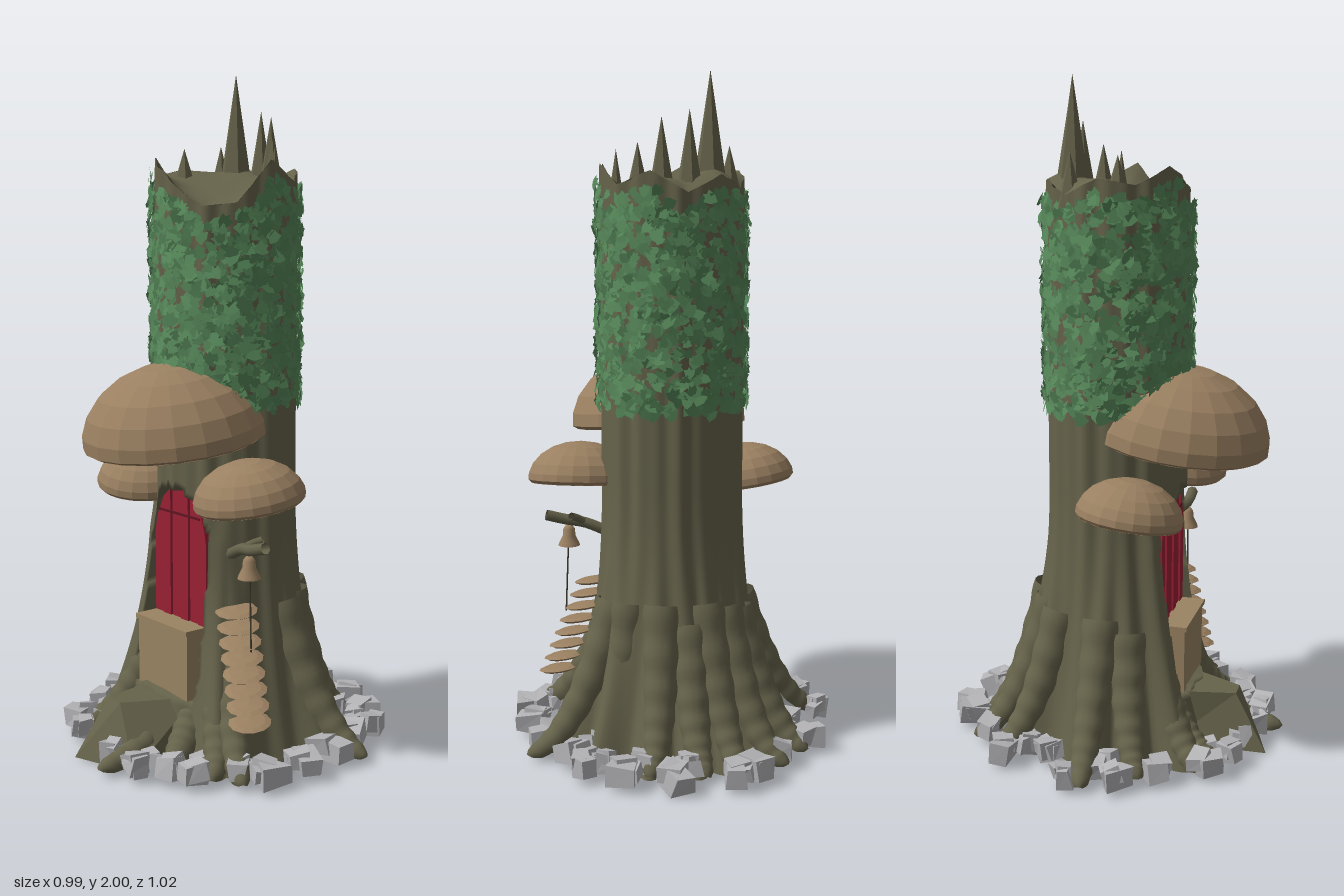
import * as THREE from 'three';
import { mergeGeometries, mergeVertices } from 'three/addons/utils/BufferGeometryUtils.js';

const TAU = Math.PI * 2;
const lerp = THREE.MathUtils.lerp;

function makeRandom(seed) {
  return () => (seed = (seed * 16807) % 2147483647) / 2147483647;
}

function material(name, color, side = THREE.FrontSide) {
  const m = new THREE.MeshStandardMaterial({ color, side });
  m.name = name;
  return m;
}

// Smooth surface from a rule (u, v) -> [x, y, z]
function surface(rule, nu, nv) {
  const g = new THREE.PlaneGeometry(1, 1, nu, nv);
  const p = g.attributes.position, uv = g.attributes.uv;
  for (let i = 0; i < p.count; i++) p.setXYZ(i, ...rule(uv.getX(i), uv.getY(i)));
  g.deleteAttribute('uv');
  g.deleteAttribute('normal');
  const merged = mergeVertices(g, 1e-5);
  merged.computeVertexNormals();
  return merged;
}

function flat(g) {
  const f = g.index ? g.toNonIndexed() : g;
  f.computeVertexNormals();
  return f;
}

// Root tips: x, z, height at the trunk
const roots = [
  [-0.48, 0.02, 0.4], [-0.34, -0.30, 0.4], [-0.25, -0.39, 0.42], [-0.10, -0.42, 0.44],
  [0.0, -0.42, 0.38], [0.16, -0.38, 0.44], [0.24, -0.19, 0.44], [0.48, -0.15, 0.42],
  [0.41, 0.26, 0.34], [0.33, 0.31, 0.28], [0.20, 0.36, 0.13], [0.07, 0.515, 0.12],
  [-0.20, 0.36, 0.13], [-0.29, 0.33, 0.27], [-0.38, 0.17, 0.36],
].map(([x, z, h]) => ({ angle: Math.atan2(x, z), reach: Math.hypot(x, z), h }));

function rimHeight(a) {
  const heights = [1.69, 1.61, 1.62, 1.74, 1.68, 1.72, 1.66, 1.71, 1.67, 1.72, 1.7, 1.75];
  const t = ((((a / TAU) % 1) + 1) % 1) * 12, i = Math.floor(t) % 12;
  return lerp(heights[i], heights[(i + 1) % 12], t - Math.floor(t));
}

function trunkRadius(a, y) {
  let bump = 0;
  for (const r of roots) {
    const d = Math.atan2(Math.sin(a - r.angle), Math.cos(a - r.angle));
    if (r.h > 0.2) bump = Math.max(bump, Math.exp(-((d / 0.14) ** 2)));
  }
  const t = Math.max(0, 1 - y / 0.8);
  const flute = 0.004 * Math.sin(a * 13) + 0.003 * Math.sin(a * 21 + 1);
  const front = Math.atan2(Math.sin(a), Math.cos(a));
  const jamb = 0.016 * Math.exp(-(((Math.abs(front) - 0.8) / 0.14) ** 2)) * Math.min(1, t * 5);
  return 0.207 + flute + jamb + t * t * (0.095 + 0.085 * bump);
}

// Height of the door arch at x
const archTop = x => 0.6 + 0.19 * Math.sqrt(Math.max(0, 1 - (x / 0.13) ** 2));

export function createModel() {
  const model = new THREE.Group();
  model.name = 'treeStumpHouse';
  const bark = material('bark', 0x66634b, THREE.DoubleSide);
  const cap = material('mushroomCap', 0x9a8061, THREE.DoubleSide);
  const gill = material('mushroomUnderside', 0x8a6c4f, THREE.DoubleSide);
  const red = material('doorRed', 0x9a2135);
  const darkRed = material('doorSeam', 0x5c1522);
  const tan = material('stepWood', 0x9a8463);
  const leafGreen = material('ivyGreen', 0x568759, THREE.DoubleSide);
  const grey = material('stoneGrey', 0xb3b3b6);
  const cordBrown = material('cordBrown', 0x3f3c2e);

  function add(name, geometry, mat, parent = model) {
    const mesh = new THREE.Mesh(geometry, mat);
    mesh.name = name;
    parent.add(mesh);
    return mesh;
  }
  function group(name) {
    const g = new THREE.Group();
    g.name = name;
    model.add(g);
    return g;
  }

  // Hollow trunk with flared foot, door recess and broken rim
  add('trunk', surface((u, v) => {
    const a = u * TAU, y = v * rimHeight(a), r = trunkRadius(a, y);
    const x = r * Math.sin(a), z = r * Math.cos(a);
    const recessed = z > 0 && Math.abs(x) < 0.136 && y > 0.19 && y < archTop(x * 0.95);
    return [0.007 + x, y, recessed ? Math.min(z, 0.1) : z];
  }, 160, 100), bark);
  // Slanting broken wood inside the rim, low at the front left
  add('brokenTop', surface((u, v) => {
    const a = -u * TAU, r = 0.205 * v;
    const slope = 1.67 - 0.4 * r * Math.cos(a - Math.PI / 4);
    return [0.007 + r * Math.sin(a), lerp(slope, rimHeight(a), v ** 4), r * Math.cos(a)];
  }, 60, 8), bark);

  // Splinters: x, z, tip height, base radius
  const splinters = group('splinters');
  for (const [x, z, tip, r] of [
    [-0.08, -0.11, 2.0, 0.062], [-0.01, -0.15, 1.89, 0.05], [0.065, -0.125, 1.87, 0.05],
    [0.125, -0.08, 1.8, 0.048], [-0.14, -0.1, 1.79, 0.05], [-0.14, 0.04, 1.78, 0.058],
    [0.18, -0.04, 1.78, 0.03],
  ]) {
    const h = tip - 1.6;
    add('splinter', flat(new THREE.ConeGeometry(r, h, 6)), bark, splinters).position.set(x, tip - h / 2, z);
  }

  // Tapered, ringed roots, open below like the hollow trunk
  const rootGroup = group('roots');
  roots.forEach(({ angle, reach, h }, i) => {
    add('root', surface((u, v) => {
      const s = 1 - v, a = (u - 0.5) * TAU * 0.66, f = angle + 0.1 * (i % 2 ? 1 : -1) * s * (1 - s);
      const start = 0.2, len = reach - start;
      const dy = -2 * h * (1 - s), n = Math.hypot(len, dy);
      const w = lerp(0.058, 0.028, s) * (1 + 0.05 * Math.sin(s * 44)) * Math.sqrt(Math.max(0, 1 - s ** 10));
      const rho = start + len * s - (dy / n) * w * Math.cos(a);
      const y = Math.max(0, 0.025 + h * (1 - s) ** 2 + (len / n) * w * Math.cos(a));
      const side = w * Math.sin(a);
      return [rho * Math.sin(f) + side * Math.cos(f), y, rho * Math.cos(f) - side * Math.sin(f)];
    }, 10, 36), bark, rootGroup);
  });

  // Wedge root below the step, with a narrow top, a pointed foot and no underside
  const porch = new THREE.BoxGeometry(0.2, 0.17, 0.2);
  const pp = porch.attributes.position;
  for (let i = 0; i < pp.count; i++) {
    if (pp.getZ(i) < 0) continue;
    const left = pp.getX(i) > 0;
    if (pp.getY(i) > 0) pp.setXYZ(i, left ? 0.0 : -0.06, 0.085, 0.1);
    else pp.setXYZ(i, left ? 0.11 : -0.09, -0.085, left ? 0.13 : 0.2);
  }
  const sides = Array.from(porch.index.array);
  sides.splice(18, 6);
  porch.setIndex(sides);
  add('porchRoot', flat(porch), bark).position.set(0.0, 0.09, 0.29);

  // Door step and recessed arched plank door
  add('doorStep', new THREE.BoxGeometry(0.24, 0.2, 0.23), tan).position.set(0.007, 0.28, 0.125);
  add('stepLip', new THREE.BoxGeometry(0.25, 0.014, 0.245), tan).position.set(0.007, 0.385, 0.125);
  function archPanel(x0, x1, depth) {
    const s = new THREE.Shape();
    s.moveTo(x0, 0.39);
    s.lineTo(x1, 0.39);
    for (let k = 0; k <= 6; k++) {
      const x = lerp(x1, x0, k / 6);
      s.lineTo(x, archTop(x));
    }
    return new THREE.ExtrudeGeometry(s, { depth, bevelEnabled: false });
  }
  const door = group('door');
  door.position.x = 0.007;
  add('doorBacking', archPanel(-0.128, 0.128, 0.04), darkRed, door).position.z = 0.115;
  for (let i = 0; i < 6; i++) {
    const x = -0.129 + i * 0.043;
    add('doorPlank', archPanel(x + 0.002, x + 0.041, 0.02), red, door).position.z = 0.15 + (i % 2) * 0.005;
  }
  add('doorBand', new THREE.BoxGeometry(0.2, 0.006, 0.006), darkRed, door).position.set(0, 0.71, 0.175);

  // Mushroom awnings
  function mushroom(name, x, y, z, r, h, tiltX, tiltZ) {
    const g = group(name);
    g.position.set(x, y, z);
    g.rotation.set(tiltX, 0, tiltZ);
    const dome = [new THREE.Vector2(r * 0.93, -0.01), new THREE.Vector2(r * 0.99, 0)];
    for (const a of [0.17, 0.42, 0.7, 1.0, 1.28]) dome.push(new THREE.Vector2(r * Math.cos(a), h * Math.sin(a)));
    dome.push(new THREE.Vector2(0, h));
    add('cap', flat(new THREE.LatheGeometry(dome, 20)), cap, g);
    // Pleated underside
    add('gills', flat(surface((u, v) => {
      const a = u * TAU, rr = r * 0.93 * (1 - v);
      const pleat = (Math.round(u * 48) % 2) * 0.018 * Math.sin(Math.PI * v);
      return [rr * Math.sin(a), -0.01 + h * 0.4 * Math.sin(v * Math.PI / 2) + pleat, rr * Math.cos(a)];
    }, 48, 4)), gill, g);
    add('stem', new THREE.CylinderGeometry(r * 0.16, r * 0.22, h * 0.6, 10), gill, g).position.y = h * 0.2;
  }
  mushroom('largeMushroom', 0.007, 0.94, 0.188, 0.274, 0.224, 0.14, 0);
  mushroom('rightMushroom', -0.25, 0.762, 0.105, 0.158, 0.117, 0.12, -0.13);
  mushroom('leftMushroom', 0.266, 0.785, 0.12, 0.163, 0.119, 0.15, 0.05);

  // Winding fungus steps on the left side
  const steps = group('fungusSteps');
  for (let i = 0; i < 8; i++) {
    const t = i / 7;
    const profile = [[0, -0.006], [0.05, -0.005], [0.062, 0.002], [0.045, 0.008], [0, 0.012]];
    const step = add('fungusStep', flat(new THREE.LatheGeometry(
      profile.map(p => new THREE.Vector2(...p)), 12)), cap, steps);
    step.position.set(lerp(0.225, 0.335, t), lerp(0.457, 0.163, t), lerp(0.135, 0.175, t));
    step.rotation.set(0.14, 0, -0.1);
  }

  // Branch carrying the bell and its cord
  const bell = group('bellBranch');
  const V = (x, y, z) => new THREE.Vector3(x, y, z);
  const tube = (pts, r) => new THREE.TubeGeometry(new THREE.CatmullRomCurve3(pts), 10, r, 7);
  add('branch', tube([V(0.17, 0.61, 0.12), V(0.25, 0.645, 0.135), V(0.31, 0.655, 0.15), V(0.37, 0.672, 0.15)], 0.017), bark, bell);
  add('twig', tube([V(0.25, 0.645, 0.135), V(0.28, 0.665, 0.12), V(0.3, 0.675, 0.1)], 0.012), bark, bell);
  const bellProfile = [[0.034, 0], [0.03, 0.01], [0.02, 0.03], [0.018, 0.052], [0.01, 0.063], [0, 0.065]];
  add('bell', new THREE.LatheGeometry(bellProfile.map(p => new THREE.Vector2(...p)), 14), cap, bell).position.set(0.3, 0.572, 0.15);
  add('cord', tube([V(0.3, 0.65, 0.15), V(0.304, 0.55, 0.15), V(0.312, 0.36, 0.152)], 0.0025), cordBrown, bell);

  // Ivy leaves wrapped around the upper trunk
  const rnd = makeRandom(77);
  const leafShape = new THREE.Shape([[0, -0.026], [0.018, -0.008], [0.022, 0.014], [0.006, 0.012],
    [0, 0.024], [-0.008, 0.012], [-0.022, 0.012], [-0.017, -0.01]].map(p => new THREE.Vector2(...p)));
  const leaf = new THREE.ShapeGeometry(leafShape);
  const dummy = new THREE.Object3D();
  dummy.rotation.order = 'YXZ';
  const leaves = [];
  for (let i = 0; i < 2100; i++) {
    const a = rnd() * TAU;
    const y = lerp(1.03, rimHeight(a) - 0.04, rnd());
    const r = 0.213 + rnd() * 0.015;
    dummy.position.set(0.007 + r * Math.sin(a), y, r * Math.cos(a));
    dummy.rotation.set((rnd() - 0.55) * 0.7, a + (rnd() - 0.5) * 0.7, (rnd() - 0.5) * 4);
    dummy.scale.setScalar(0.65 + rnd() * 0.45);
    dummy.updateMatrix();
    leaves.push(leaf.clone().applyMatrix4(dummy.matrix));
  }
  add('ivy', mergeGeometries(leaves), leafGreen);

  // Ring of rough stones: x, z, size
  const stones = group('stones');
  for (const [x, z, s] of [
    [-0.46, -0.025, 0.05], [-0.43, 0.115, 0.065], [-0.28, 0.36, 0.07], [-0.36, 0.22, 0.06],
    [-0.19, 0.4, 0.055], [-0.06, 0.42, 0.05], [0.02, 0.44, 0.05], [0.14, 0.435, 0.065],
    [0.22, 0.38, 0.06], [0.29, 0.345, 0.065], [0.36, 0.24, 0.06], [0.44, 0.18, 0.07], [0.44, 0.05, 0.075],
    [0.42, -0.08, 0.075], [0.365, -0.21, 0.065], [0.34, -0.32, 0.055], [0.275, -0.3, 0.045],
    [0.24, -0.39, 0.07], [0.1, -0.445, 0.08], [0.16, -0.33, 0.055], [-0.07, -0.465, 0.07],
    [-0.14, -0.43, 0.08], [-0.24, -0.34, 0.06], [-0.36, -0.25, 0.07], [-0.33, -0.12, 0.06],
    [-0.38, 0.05, 0.06], [-0.3, -0.2, 0.05], [0.04, -0.38, 0.055], [0.3, -0.17, 0.055],
  ]) {
    for (let k = 0; k < 3; k++) {
      const g = new THREE.BoxGeometry(s * (1.1 - k * 0.25), 0.058 - k * 0.01, s * (0.8 + k * 0.05));
      const p = g.attributes.position;
      // Shear and taper each box by its own amounts
      const c = [rnd(), rnd(), rnd()].map(n => (n - 0.5) * 0.5);
      for (let i = 0; i < p.count; i++) {
        const px = p.getX(i), py = p.getY(i), pz = p.getZ(i);
        p.setXYZ(i, px * (1 + c[0] * Math.sign(pz)), py * (1 + c[2] * Math.sign(px)), pz * (1 + c[1] * Math.sign(py)));
      }
      const stone = add('stone', flat(g), grey, stones);
      const inward = 1 - 0.04 * k;
      stone.position.set(x * inward + (rnd() - 0.5) * 0.04 * k, 0.046 + (k % 2) * 0.01, z * inward + (rnd() - 0.5) * 0.04 * k);
      stone.rotation.set((rnd() - 0.5) * 0.4, rnd() * TAU, (rnd() - 0.5) * 0.4);
    }
  }
  return model;
}
